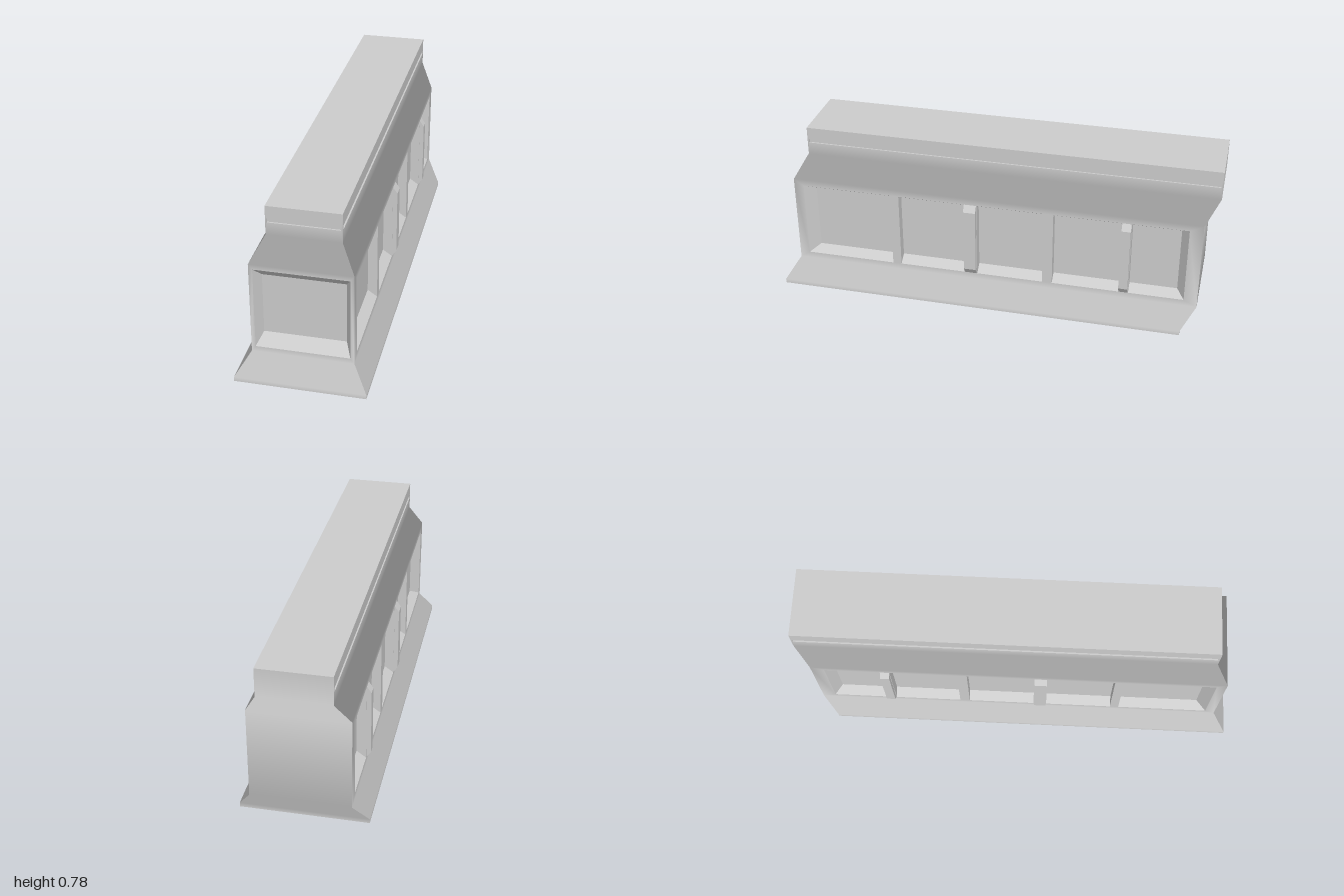
import * as THREE from 'three';

const material = new THREE.MeshStandardMaterial({ color: 0xcccccc, side: THREE.DoubleSide });

// Height, half-width and outward tilt of the shell profile
const profile = [
  [0, 0.28, 0], [0.02, 0.28, 0.3], [0.12, 0.217, 0.3],
  [0.54, 0.217, -0.27], [0.65, 0.157, -0.27], [0.78, 0.157, 0],
];
const FRONT = 0.718, BACK = -1.157; // the plan slides along z as the half-width changes
const MID = 0.217, TOP = 0.157;

const frontZ = (w) => FRONT + w;
const backZ = (w) => BACK + w;

function path(points, Type = THREE.Shape) {
  return new Type(points.map(([x, y]) => new THREE.Vector2(x, y)));
}

function makeMesh(name, positions, normals) {
  const g = new THREE.BufferGeometry();
  g.setAttribute('position', new THREE.Float32BufferAttribute(positions, 3));
  if (normals) g.setAttribute('normal', new THREE.Float32BufferAttribute(normals, 3));
  else g.computeVertexNormals();
  const mesh = new THREE.Mesh(g, material);
  mesh.name = name;
  return mesh;
}

const corners = (r) => [[r.u0, r.y0], [r.u1, r.y0], [r.u1, r.y1], [r.u0, r.y1]];

// Sunken panel: four side walls and a floor; insets are left, right, bottom, top
function recess(name, r, o) {
  const [l, rt, b, t] = r.inset;
  const outer = corners(r).map(([u, y]) => [u, y, o]);
  const inner = corners({ u0: r.u0 + l, u1: r.u1 - rt, y0: r.y0 + b, y1: r.y1 - t })
    .map(([u, y]) => [u, y, o - r.depth]);
  const pos = [];
  const quad = (a, b2, c, d) => pos.push(...a, ...b2, ...c, ...a, ...c, ...d);
  for (let i = 0; i < 4; i++) {
    const j = (i + 1) % 4;
    quad(outer[i], outer[j], inner[j], inner[i]);
  }
  quad(...inner);
  return makeMesh(name, pos);
}

// One wall facing local +z; lo/hi are its ends and out its distance for each half-width
function wall(name, { lo, hi, out, tilt = 1, windows = [], slot }) {
  const group = new THREE.Group();
  group.name = name;
  const pos = [], nor = [];
  for (let i = 0; i < profile.length - 1; i++) {
    const [y0, w0, t0] = profile[i], [y1, w1, t1] = profile[i + 1];
    const shape = path([[lo(w0), y0], [hi(w0), y0], [hi(w1), y1], [lo(w1), y1]]);
    const holes = i === 2 ? windows : i === 4 && slot ? [slot] : [];
    for (const h of holes) shape.holes.push(path(corners(h).reverse(), THREE.Path));
    const p = new THREE.ShapeGeometry(shape).toNonIndexed().attributes.position;
    for (let k = 0; k < p.count; k++) {
      const y = p.getY(k);
      const f = (y - y0) / (y1 - y0);
      const t = f < 1e-4 ? t0 : f > 1 - 1e-4 ? t1 : 0;
      const n = new THREE.Vector3(0, t * tilt, 1).normalize();
      pos.push(p.getX(k), y, out(w0 + (w1 - w0) * f));
      nor.push(n.x, n.y, n.z);
    }
  }
  group.add(makeMesh(name + 'Shell', pos, nor));
  windows.forEach((r) => group.add(recess('windowRecess', r, out(MID))));
  if (slot) group.add(recess('slot', slot, out(TOP)));
  return group;
}

// Side windows as front z, back z, front inset, back inset
const sideWindows = [
  [0.89, 0.475, 0.046, 0], [0.435, 0.13, 0, 0], [0.07, -0.235, 0, 0],
  [-0.28, -0.585, 0, 0], [-0.63, -0.88, 0, 0.035],
];

// s = 1 for the model's left side, -1 for its right
function sideWall(s) {
  const span = (zf, zb, inF, inB, rest) => s > 0
    ? { u0: -zf, u1: -zb, inset: [inF, inB, ...rest.v], ...rest }
    : { u0: zb, u1: zf, inset: [inB, inF, ...rest.v], ...rest };
  const side = wall(s > 0 ? 'leftWall' : 'rightWall', {
    lo: s > 0 ? (w) => -frontZ(w) : backZ,
    hi: s > 0 ? (w) => -backZ(w) : frontZ,
    out: (w) => w,
    windows: sideWindows.map(([zf, zb, a, b]) =>
      span(zf, zb, a, b, { y0: 0.15, y1: 0.51, v: [0.03, 0.026], depth: 0.042 })),
    slot: span(0.868, -0.992, 0, 0, { y0: 0.706, y1: 0.724, v: [0, 0], depth: 0.007 }),
  });
  // Raised ribs on every second post
  for (const [zf, zb] of [[0.128, 0.072], [-0.587, -0.628]]) {
    const geo = new THREE.ExtrudeGeometry(
      path([[-0.005, 0.15], [0, 0.15], [0.02, 0.18], [0.02, 0.48], [0, 0.51], [-0.005, 0.51]]),
      { depth: zf - zb, bevelEnabled: false });
    geo.rotateY(-Math.PI / 2); // outward becomes local +z
    const rib = new THREE.Mesh(geo, material);
    rib.name = 'postRib';
    rib.position.set(s > 0 ? -zb : zf, 0, MID);
    side.add(rib);
  }
  side.rotation.y = s * Math.PI / 2;
  return side;
}

export function createModel() {
  const model = new THREE.Group();
  model.name = 'panelledBlock';

  model.add(sideWall(1), sideWall(-1));

  // Front end with one large sunken panel and a thin slot
  model.add(wall('frontWall', {
    lo: (w) => -w, hi: (w) => w, out: frontZ,
    windows: [{ u0: -0.2, u1: 0.2, y0: 0.145, y1: 0.517, inset: [0.025, 0.025, 0.048, 0.047], depth: 0.047 }],
    slot: { u0: -0.15, u1: 0.15, y0: 0.706, y1: 0.724, inset: [0, 0, 0, 0], depth: 0.007 },
  }));

  // Plain back end, overhanging at the top
  const back = wall('backWall', {
    lo: (w) => -w, hi: (w) => w, out: (w) => -backZ(w), tilt: -1,
  });
  back.rotation.y = Math.PI;
  model.add(back);

  // Flat roof; the underside stays open
  const length = FRONT - BACK;
  const roof = new THREE.Mesh(new THREE.PlaneGeometry(TOP * 2, length).rotateX(-Math.PI / 2), material);
  roof.name = 'roof';
  roof.position.set(0, 0.78, (frontZ(TOP) + backZ(TOP)) / 2);
  model.add(roof);

  return model;
}
